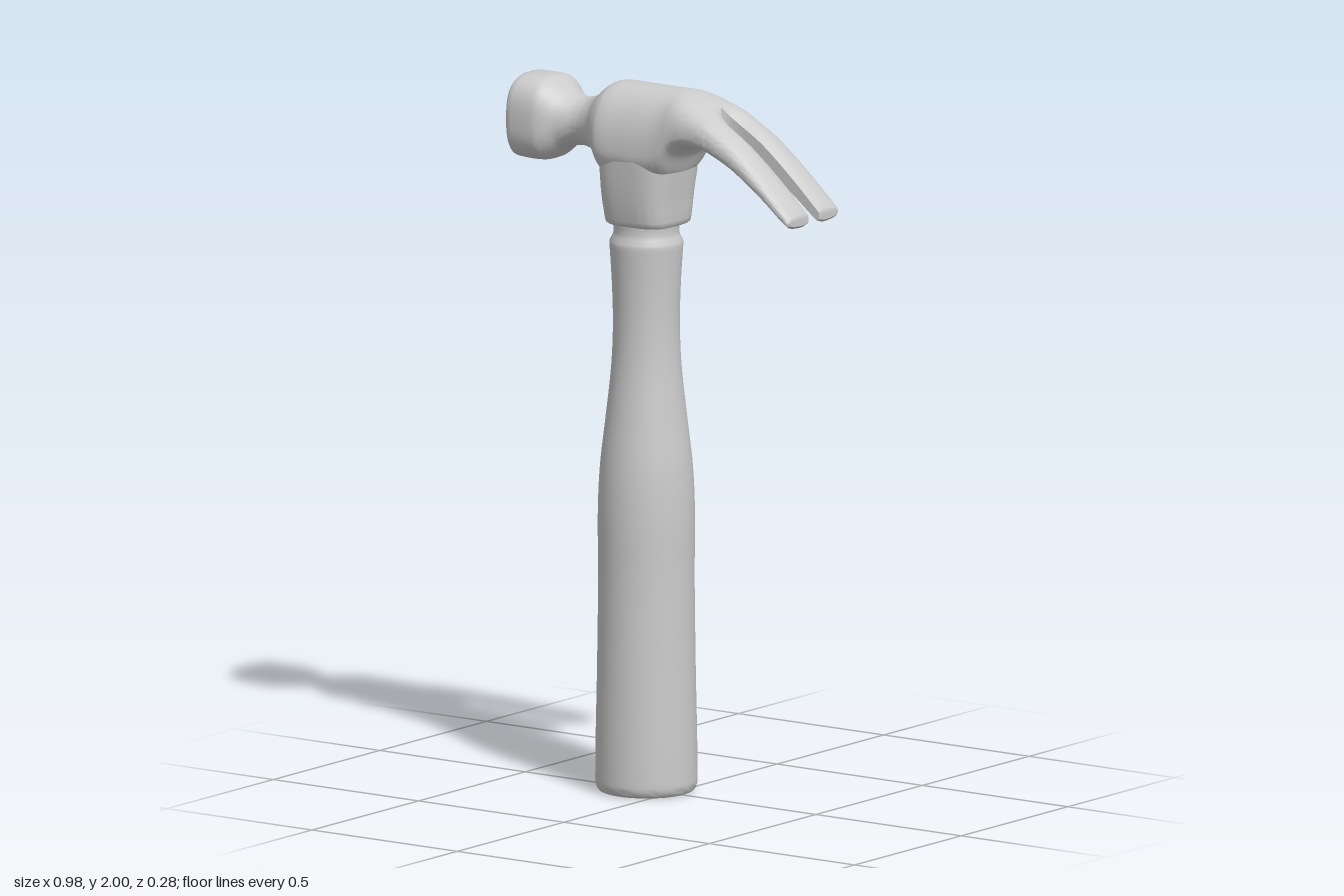
import * as THREE from 'three';
import { toCreasedNormals } from 'three/addons/utils/BufferGeometryUtils.js';

const material = new THREE.MeshStandardMaterial({ color: 0xcccccc, side: THREE.DoubleSide });

// Skins a list of equal-length closed rings and caps both ends.
function loftTriangles(rings, flip, out) {
  const n = rings[0].length;
  const tri = (a, b, c) => {
    for (const p of flip ? [a, c, b] : [a, b, c]) out.push(p.x, p.y, p.z);
  };
  for (let i = 0; i < rings.length - 1; i++) {
    for (let j = 0; j < n; j++) {
      const k = (j + 1) % n;
      const a = rings[i][j], b = rings[i + 1][j], c = rings[i][k], d = rings[i + 1][k];
      // the inner wall exists only where the claw is split
      if (k === 0 && a.z === 0 && b.z === 0) continue;
      tri(a, c, b);
      tri(b, c, d);
    }
  }
  const cap = (ring, end) => {
    const centre = ring.reduce((s, p) => s.add(p), new THREE.Vector3()).divideScalar(n);
    for (let j = 0; j < n; j++) {
      const k = (j + 1) % n;
      if (end) tri(centre, ring[j], ring[k]);
      else tri(centre, ring[k], ring[j]);
    }
  };
  cap(rings[0], false);
  cap(rings[rings.length - 1], true);
}

function toMesh(positions, name, crease) {
  const g = new THREE.BufferGeometry();
  g.setAttribute('position', new THREE.Float32BufferAttribute(positions, 3));
  const mesh = new THREE.Mesh(toCreasedNormals(g, crease), material);
  mesh.name = name;
  return mesh;
}

const power = (v, e) => Math.sign(v) * Math.abs(v) ** (2 / e);

// Striking face, neck, body and claw: x, top, bottom, half width, squareness, widest height
const HEAD = [
  [-0.49, 1.98, 1.756, 0.107, 2.8, 1.867],
  [-0.483, 1.986, 1.75, 0.113, 2.8, 1.867],
  [-0.4, 1.985, 1.75, 0.113, 2.8, 1.867],
  [-0.375, 1.973, 1.764, 0.104, 2.6, 1.867],
  [-0.34, 1.948, 1.79, 0.082, 2.2, 1.867],
  [-0.29, 1.937, 1.8, 0.068, 2, 1.867],
  [-0.24, 1.952, 1.789, 0.082, 2, 1.867],
  [-0.205, 1.98, 1.763, 0.107, 2.1, 1.86],
  [-0.175, 1.997, 1.738, 0.125, 2.2, 1.835],
  [-0.1, 2, 1.735, 0.125, 2.2, 1.82],
  [0, 2, 1.735, 0.122, 2.2, 1.82],
  [0.035, 2, 1.757, 0.122, 2.2, 1.835],
  [0.065, 1.998, 1.815, 0.121, 2.3, 1.87],
  [0.1, 1.99, 1.842, 0.121, 2.4, 1.89],
  [0.17, 1.963, 1.847, 0.121, 2.5, 1.89],
  [0.23, 1.928, 1.828, 0.121, 2.5, 1.868],
  [0.3, 1.882, 1.795, 0.121, 2.6, 1.83],
  [0.4, 1.795, 1.73, 0.121, 2.7, 1.756],
  [0.483, 1.714, 1.668, 0.12, 2.8, 1.688],
  [0.49, 1.704, 1.674, 0.113, 2.8, 1.688],
];

// Smooth (Hermite) reading of the table between rows i and i + 1
function station(i, t) {
  const p = HEAD[i], q = HEAD[i + 1];
  const h = q[0] - p[0];
  const slope = (k, c) => {
    const a = HEAD[Math.max(k - 1, 0)], b = HEAD[Math.min(k + 1, HEAD.length - 1)];
    return (b[c] - a[c]) / (b[0] - a[0]);
  };
  return p.map((v, c) => c === 0 ? v + h * t :
    v * (1 + 2 * t) * (1 - t) ** 2 + slope(i, c) * h * t * (1 - t) ** 2 +
    q[c] * t * t * (3 - 2 * t) + slope(i + 1, c) * h * t * t * (t - 1));
}

const SLOT = 0.024;
function slotAt(x) {
  if (x <= 0.1701) return 0;
  const d = Math.max(0, (0.24 - x) / 0.07);
  return SLOT * Math.sqrt(1 - d * d);
}

// One half of a head section, from the top ridge round the side to the underside
function halfSection([x, top, bottom, width, e, mid], side) {
  const s = slotAt(x), ring = [];
  for (let j = 0; j <= 26; j++) {
    const a = Math.PI * j / 26;
    const z = s + (width - s) * (j === 26 ? 0 : power(Math.sin(a), e));
    const v = power(Math.cos(a), e);
    // soften the inner edges of the claw
    const soft = 1 - 0.35 * (s / SLOT) * Math.exp(-(((z - s) / 0.016) ** 2));
    const y = mid + v * soft * (v > 0 ? top - mid : mid - bottom);
    ring.push(new THREE.Vector3(x, y, z * side));
  }
  return ring;
}

function makeHead() {
  const stations = [];
  for (let i = 0; i < HEAD.length - 1; i++) {
    for (let k = 0; k < 6; k++) stations.push(station(i, k / 6));
  }
  stations.push(HEAD[HEAD.length - 1]);
  const out = [];
  for (const side of [1, -1]) {
    loftTriangles(stations.map((s) => halfSection(s, side)), side < 0, out);
  }
  return toMesh(out, 'clawHead', 0.7);
}

// Tapered socket under the head: y, right x, left x, half depth
function makeSocket() {
  const rows = [
    [1.608, -0.178, 0.019, 0.096], [1.613, -0.184, 0.024, 0.102], [1.625, -0.186, 0.026, 0.105],
    [1.66, -0.19, 0.028, 0.111], [1.7, -0.194, 0.031, 0.116], [1.76, -0.197, 0.04, 0.121],
    [1.83, -0.19, 0.045, 0.122],
  ];
  const rings = rows.map(([y, x0, x1, hz]) => Array.from({ length: 64 }, (_, j) => {
    const a = 2 * Math.PI * j / 64;
    return new THREE.Vector3((x0 + x1) / 2 + (x1 - x0) / 2 * power(Math.sin(a), 3.3), y,
      hz * power(Math.cos(a), 3.3));
  }));
  const out = [];
  loftTriangles(rings, true, out);
  // rings run from +z towards +x, so the skin is wound to face outwards
  for (let i = 0; i < out.length; i += 9) {
    for (let c = 0; c < 3; c++) [out[i + 3 + c], out[i + 6 + c]] = [out[i + 6 + c], out[i + 3 + c]];
  }
  return toMesh(orientOutward(out), 'headSocket', 0.7);
}

// Turns every triangle of a convex part away from its middle
function orientOutward(p) {
  const centre = new THREE.Vector3(-0.08, 1.72, 0);
  const v = (i) => new THREE.Vector3(p[i], p[i + 1], p[i + 2]);
  for (let i = 0; i < p.length; i += 9) {
    const a = v(i), b = v(i + 3), c = v(i + 6);
    const n = b.clone().sub(a).cross(c.clone().sub(a));
    if (n.dot(a.sub(centre)) < 0) {
      p.splice(i + 3, 6, c.x, c.y, c.z, b.x, b.y, b.z);
    }
  }
  return p;
}

// Turned grip with a swelling lower half and a grooved collar
function makeHandle() {
  const side = new THREE.SplineCurve([
    [0.142, 0.03], [0.141, 0.15], [0.137, 0.35], [0.134, 0.6], [0.135, 0.78], [0.129, 0.92],
    [0.113, 1.06], [0.098, 1.2], [0.093, 1.32], [0.096, 1.44], [0.103, 1.55],
  ].map(([r, y]) => new THREE.Vector2(r, y)));
  const ends = (list) => list.map(([r, y]) => new THREE.Vector2(r, y));
  const profile = [
    ...ends([[0, 0], [0.124, 0], [0.132, 0.003], [0.138, 0.011], [0.141, 0.02]]),
    ...side.getPoints(60),
    ...ends([[0.102, 1.558], [0.094, 1.572], [0.091, 1.585], [0.092, 1.6], [0.094, 1.64], [0, 1.64]]),
  ];
  const mesh = new THREE.Mesh(toCreasedNormals(new THREE.LatheGeometry(profile, 48), 0.7), material);
  mesh.name = 'handle';
  mesh.position.x = -0.083;
  return mesh;
}

export function createModel() {
  const model = new THREE.Group();
  model.name = 'clawHammer';
  const head = new THREE.Group();
  head.name = 'head';
  head.add(makeHead(), makeSocket());
  head.position.z = -0.004;
  model.add(makeHandle(), head);
  return model;
}
